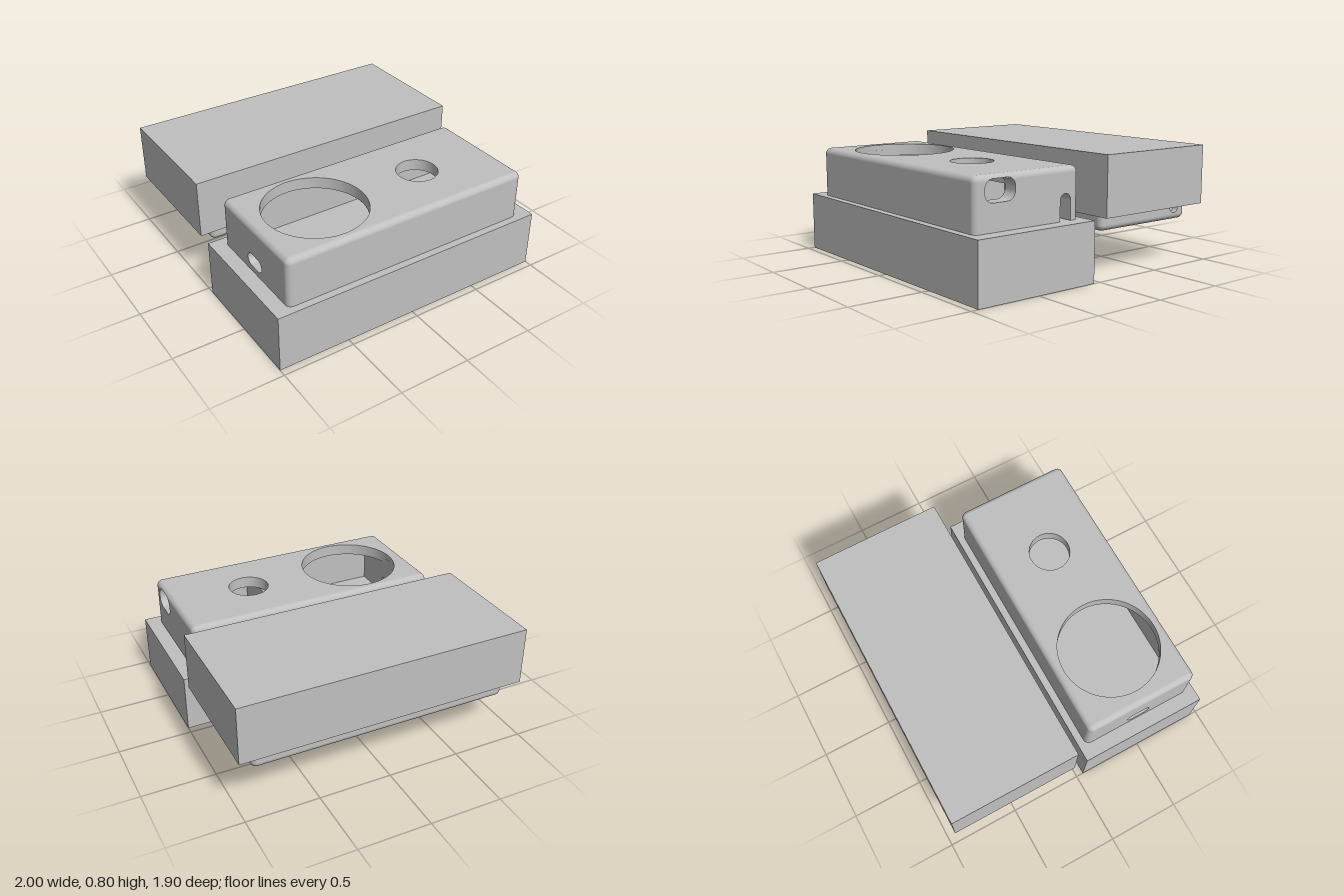
import * as THREE from 'three';

const grey = new THREE.MeshStandardMaterial({ color: 0xc0c0c0, side: THREE.DoubleSide });
grey.name = 'plain grey';
const R = 0.04; // fillet radius
const V = (x, y, z) => new THREE.Vector3(x, y, z);

function add(group, name, geometry) {
  const mesh = new THREE.Mesh(geometry, grey);
  mesh.name = name;
  group.add(mesh);
  return mesh;
}

function box(group, name, x0, x1, y0, y1, z0, z1) {
  add(group, name, new THREE.BoxGeometry(x1 - x0, y1 - y0, z1 - z0))
    .position.set((x0 + x1) / 2, (y0 + y1) / 2, (z0 + z1) / 2);
}

// Shape given as [z, y] points, extruded along x
function sideWall(group, name, pts, x0, x1, holes = []) {
  const toShape = (list, C) => new C(list.map(([z, y]) => new THREE.Vector2(-z, y)));
  const s = toShape(pts, THREE.Shape);
  s.holes = holes.map((h) => toShape(h, THREE.Path));
  const g = new THREE.ExtrudeGeometry(s, { depth: x1 - x0, bevelEnabled: false });
  add(group, name, g.rotateY(Math.PI / 2).translate(x0, 0, 0));
}

// Plan given as [x, z] points with round holes [x, z, r], extruded along y
function slab(group, name, pts, y0, y1, holes) {
  const s = new THREE.Shape(pts.map(([x, z]) => new THREE.Vector2(x, -z)));
  for (const [x, z, r] of holes) s.holes.push(new THREE.Path().absarc(x, -z, r, 0, Math.PI * 2));
  const g = new THREE.ExtrudeGeometry(s, { depth: y1 - y0, bevelEnabled: false, curveSegments: 48 });
  add(group, name, g.rotateX(-Math.PI / 2).translate(0, y0, 0));
}

// Part of a quarter round swept from p to q, turning from normal a to normal b
function fillet(group, name, p, q, a, b, t0 = 0, t1 = Math.PI / 2) {
  const pos = [], nor = [], idx = [], N = 8;
  for (let i = 0; i <= N; i++) {
    const t = t0 + ((t1 - t0) * i) / N;
    const n = a.clone().multiplyScalar(Math.cos(t)).addScaledVector(b, Math.sin(t));
    for (const e of [p, q]) {
      pos.push(...e.clone().addScaledVector(n, R).toArray());
      nor.push(...n.toArray());
    }
  }
  const outward = b.clone().sub(a).cross(q.clone().sub(p)).dot(a.clone().add(b)) < 0;
  for (let i = 0; i < N; i++) {
    const k = 2 * i;
    if (outward) idx.push(k, k + 1, k + 2, k + 1, k + 3, k + 2);
    else idx.push(k, k + 2, k + 1, k + 1, k + 2, k + 3);
  }
  const g = new THREE.BufferGeometry();
  g.setAttribute('position', new THREE.Float32BufferAttribute(pos, 3));
  g.setAttribute('normal', new THREE.Float32BufferAttribute(nor, 3));
  g.setIndex(idx);
  add(group, name, g);
}

// Rounded upright corners and rounded rim; the +x rim is optional
function roundedEdges(group, zc, yBase, yEnd, rightRim) {
  const up = V(0, Math.sign(yEnd - yBase), 0), y = yEnd - up.y * R, X = 0.86, Z = 0.36;
  for (const s of [-1, 1]) {
    fillet(group, 'longRim', V(-X, y, zc + s * Z), V(X, y, zc + s * Z), V(0, 0, s), up);
    if (s < 0 || rightRim) {
      fillet(group, 'shortRim', V(s * X, y, zc - Z), V(s * X, y, zc + Z), V(s, 0, 0), up);
    }
    for (const k of [-1, 1]) {
      fillet(group, 'uprightCorner', V(s * X, yBase, zc + k * Z), V(s * X, y, zc + k * Z), V(s, 0, 0), V(0, 0, k));
      add(group, 'cornerBall', new THREE.SphereGeometry(R, 24, 16)).position.set(s * X, y, zc + k * Z);
    }
  }
}

// U-shaped notch: points of a half circle from z0 to z1
function halfRound(zc, yc, r, dir) {
  return Array.from({ length: 17 }, (_, i) => {
    const t = Math.PI - (Math.PI * i) / 16;
    return [zc + r * Math.cos(t), yc + dir * r * Math.sin(t)];
  });
}

// Half width of the rounded connector opening at height y
const PORT = { z: 0.7125, bottom: 0.574, top: 0.715 };
function portHalfWidth(y) {
  const d = Math.max(0, y - 0.655, 0.634 - y);
  return 0.0525 + Math.sqrt(Math.max(0, 0.0036 - d * d));
}

function buildCase() {
  const g = new THREE.Group();
  g.name = 'hollowCase';
  const top = 0.74, rimY = top - R;
  box(g, 'frontWall', -0.86, 0.86, 0.4, rimY, 0.86, 0.9);
  box(g, 'backWall', -0.86, 0.86, 0.4, rimY, 0.1, 0.14);

  // Left-hand wall with its oval opening
  const oval = [...halfRound(0.5, 0.485, 0.045, 1), ...halfRound(0.5, 0.485, 0.045, -1).reverse()]
    .map(([z, y]) => [z + Math.sign(z - 0.5) * 0.04, y]);
  sideWall(g, 'ovalHoleWall', [[0.14, 0.4], [0.86, 0.4], [0.86, rimY], [0.14, rimY]], -0.9, -0.8, [oval]);

  // Right-hand wall with the cable notch and the connector opening
  const down = Array.from({ length: 25 }, (_, i) => {
    const y = PORT.bottom + (rimY - PORT.bottom) * (1 - Math.sin((i / 24) * Math.PI / 2));
    return [portHalfWidth(y), y];
  });
  const port = [
    ...down.map(([w, y]) => [PORT.z + w, y]),
    ...down.slice().reverse().map(([w, y]) => [PORT.z - w, y]),
  ];
  sideWall(g, 'portWall', [
    [0.14, 0.4], [0.165, 0.4], ...halfRound(0.2075, 0.53, 0.0425, 1), [0.25, 0.4],
    [0.86, 0.4], [0.86, rimY], ...port, [0.14, rimY],
  ], 0.8, 0.9);

  // Rim over the connector opening: narrow bands open in the middle, then closed
  const tEnd = Math.asin((PORT.top - rimY) / R), c = [V(1, 0, 0), V(0, 1, 0)];
  const run = (z0, z1, t0, t1) => fillet(g, 'portRim', V(0.86, rimY, z0), V(0.86, rimY, z1), ...c, t0, t1);
  for (let i = 0; i < 5; i++) {
    const t0 = (tEnd * i) / 5, t1 = (tEnd * (i + 1)) / 5;
    const w = portHalfWidth(rimY + R * Math.sin((t0 + t1) / 2));
    run(0.14, PORT.z - w, t0, t1);
    run(PORT.z + w, 0.86, t0, t1);
  }
  run(0.14, 0.86, tEnd, Math.PI / 2);
  roundedEdges(g, 0.5, 0.4, top, false);

  // Top plate in two layers; the lower one has the connector channel
  const holes = [[-0.46, 0.5, 0.343], [0.338, 0.5, 0.14]];
  slab(g, 'topPlate', [[-0.86, 0.14], [0.86, 0.14], [0.86, 0.86], [-0.86, 0.86]], PORT.top, top, holes);
  slab(g, 'topPlateUnderside', [
    [-0.86, 0.14], [0.86, 0.14], [0.86, 0.6], [0.5, 0.6], [0.5, 0.825], [0.86, 0.825], [0.86, 0.86], [-0.86, 0.86],
  ], 0.66, PORT.top, holes);
  box(g, 'innerPartition', 0.12, 0.215, 0.4, 0.65, 0.14, 0.86);
  return g;
}

function buildLid() {
  const g = new THREE.Group();
  g.name = 'lid';
  const y0 = 0.29, rimY = y0 + R;
  slab(g, 'lidPlate', [[-0.86, -0.86], [0.86, -0.86], [0.86, -0.14], [-0.86, -0.14]], y0, 0.4,
    [[0.828, -0.68, 0.028], [0.828, -0.18, 0.028], [-0.828, -0.82, 0.028], [-0.828, -0.18, 0.028]]);
  box(g, 'lidFrontWall', -0.86, 0.86, rimY, 0.4, -0.14, -0.1);
  box(g, 'lidBackWall', -0.86, 0.86, rimY, 0.4, -0.9, -0.86);
  box(g, 'lidPlainWall', -0.9, -0.86, rimY, 0.4, -0.86, -0.14);
  sideWall(g, 'lidNotchWall', [
    [-0.86, 0.4], [-0.832, 0.4], ...halfRound(-0.79, 0.38, 0.042, -1), [-0.748, 0.4],
    [-0.14, 0.4], [-0.14, rimY], [-0.86, rimY],
  ], 0.86, 0.9);
  roundedEdges(g, -0.5, 0.4, y0, true);
  return g;
}

export function createModel() {
  const model = new THREE.Group();
  model.name = 'caseAndLidOnBlocks';
  box(model, 'lowerBlock', -1, 1, 0, 0.4, 0.05, 0.95);
  box(model, 'upperBlock', -1, 1, 0.4, 0.8, -0.95, -0.05);
  model.add(buildCase(), buildLid());
  return model;
}
